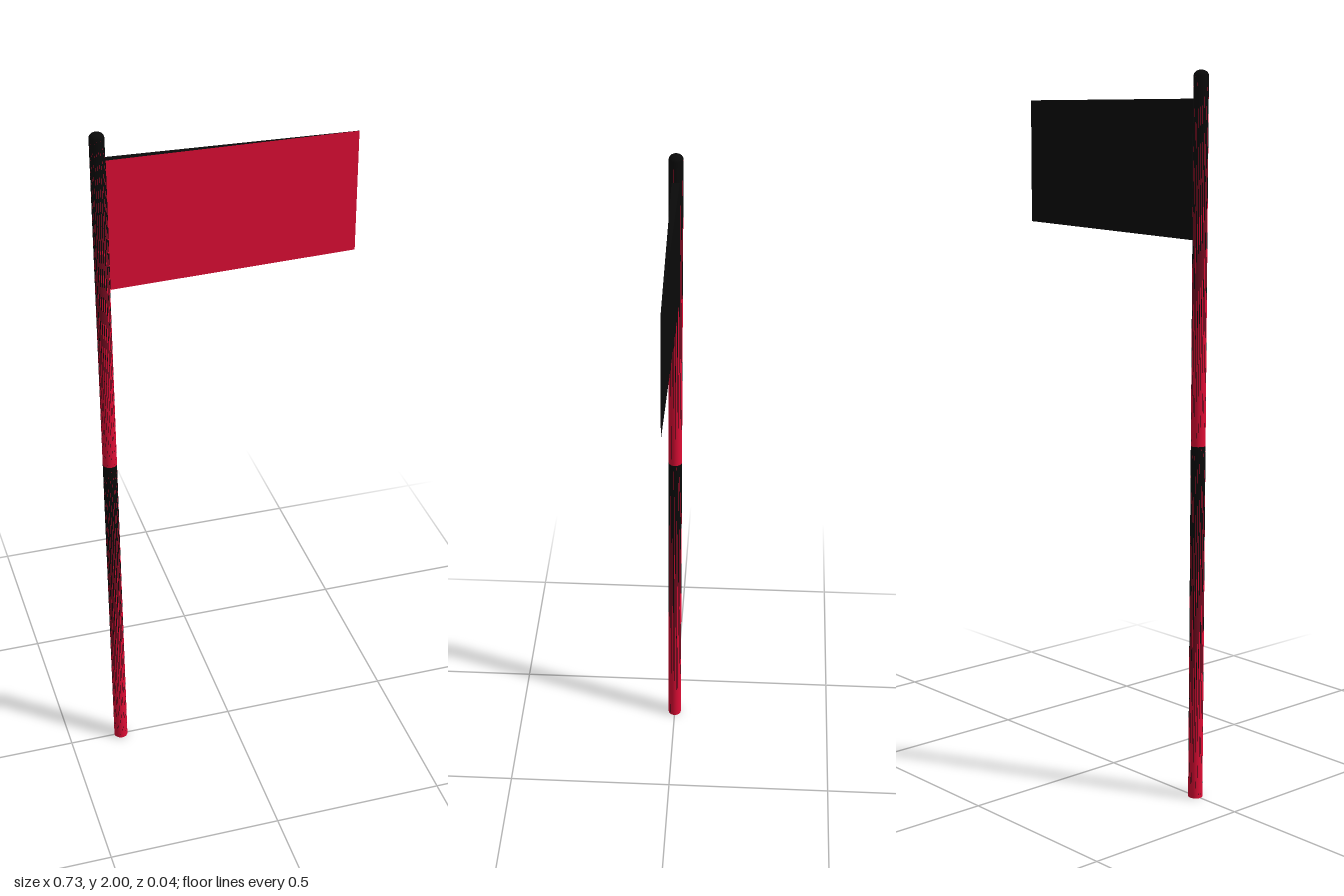
import * as THREE from 'three';

const red = new THREE.MeshStandardMaterial({ color: 0xe00d35 });
const black = new THREE.MeshStandardMaterial({ color: 0x0a0a0a });
const POLE_X = -0.345, R = 0.02, SIDES = 24;

function add(parent, name, geometry, material, x = 0, y = 0) {
  const mesh = new THREE.Mesh(geometry, material);
  mesh.name = name;
  mesh.position.set(x, y, 0);
  parent.add(mesh);
}

// Keep every second triangle of an open tube: long tapering spikes of one colour
function spikes(height, parity) {
  const g = new THREE.CylinderGeometry(R, R, height, SIDES, 1, true);
  const source = g.index.array, kept = [];
  for (let i = 0; i < source.length; i += 3) {
    if ((i / 3) % 2 === parity) kept.push(source[i], source[i + 1], source[i + 2]);
  }
  g.setIndex(kept);
  g.clearGroups();
  return g;
}

// Flat quad panel from four corners, counter-clockwise seen from outside
function quads(list) {
  const pos = [];
  for (const [a, b, c, d] of list) pos.push(...a, ...b, ...c, ...a, ...c, ...d);
  const g = new THREE.BufferGeometry();
  g.setAttribute('position', new THREE.Float32BufferAttribute(pos, 3));
  g.computeVertexNormals();
  return g;
}

export function createModel() {
  const model = new THREE.Group();
  model.name = 'flagOnPole';

  // Pole: two lengths, each fading upward from red into black
  const pole = new THREE.Group();
  pole.name = 'pole';
  model.add(pole);
  for (const [name, y0, y1] of [['lowerPole', 0, 1], ['upperPole', 1, 1.985]]) {
    const h = y1 - y0, y = (y0 + y1) / 2;
    add(pole, name + 'Black', spikes(h, 0), black, POLE_X, y);
    add(pole, name + 'Red', spikes(h, 1), red, POLE_X, y);
  }

  // Rounded top and flat foot
  const dome = new THREE.SphereGeometry(R, SIDES, 6, 0, Math.PI * 2, 0, Math.PI / 2);
  dome.scale(1, 0.75, 1);
  add(pole, 'poleTop', dome, black, POLE_X, 1.985);
  const foot = new THREE.CircleGeometry(R, SIDES);
  foot.rotateX(Math.PI / 2);
  add(pole, 'poleFoot', foot, black, POLE_X, 0);

  // Flag: a wedge thinning to nearly nothing at its free end
  const near = { x: -0.326, b: 1.555, t: 1.925, z: 0.011 };
  const far = { x: 0.36, b: 1.566, t: 1.914, z: 0.0005 };
  const p = (e, y, s) => [e.x, e[y], e.z * s];
  const flag = new THREE.Group();
  flag.name = 'flag';
  model.add(flag);
  add(flag, 'flagFront', quads([[p(near, 'b', 1), p(far, 'b', 1), p(far, 't', 1), p(near, 't', 1)]]), red);
  add(flag, 'flagBackAndEdges', quads([
    [p(far, 'b', -1), p(near, 'b', -1), p(near, 't', -1), p(far, 't', -1)],
    [p(near, 't', 1), p(far, 't', 1), p(far, 't', -1), p(near, 't', -1)],
    [p(near, 'b', -1), p(far, 'b', -1), p(far, 'b', 1), p(near, 'b', 1)],
    [p(near, 'b', -1), p(near, 'b', 1), p(near, 't', 1), p(near, 't', -1)],
    [p(far, 'b', 1), p(far, 'b', -1), p(far, 't', -1), p(far, 't', 1)],
  ]), black);

  return model;
}
